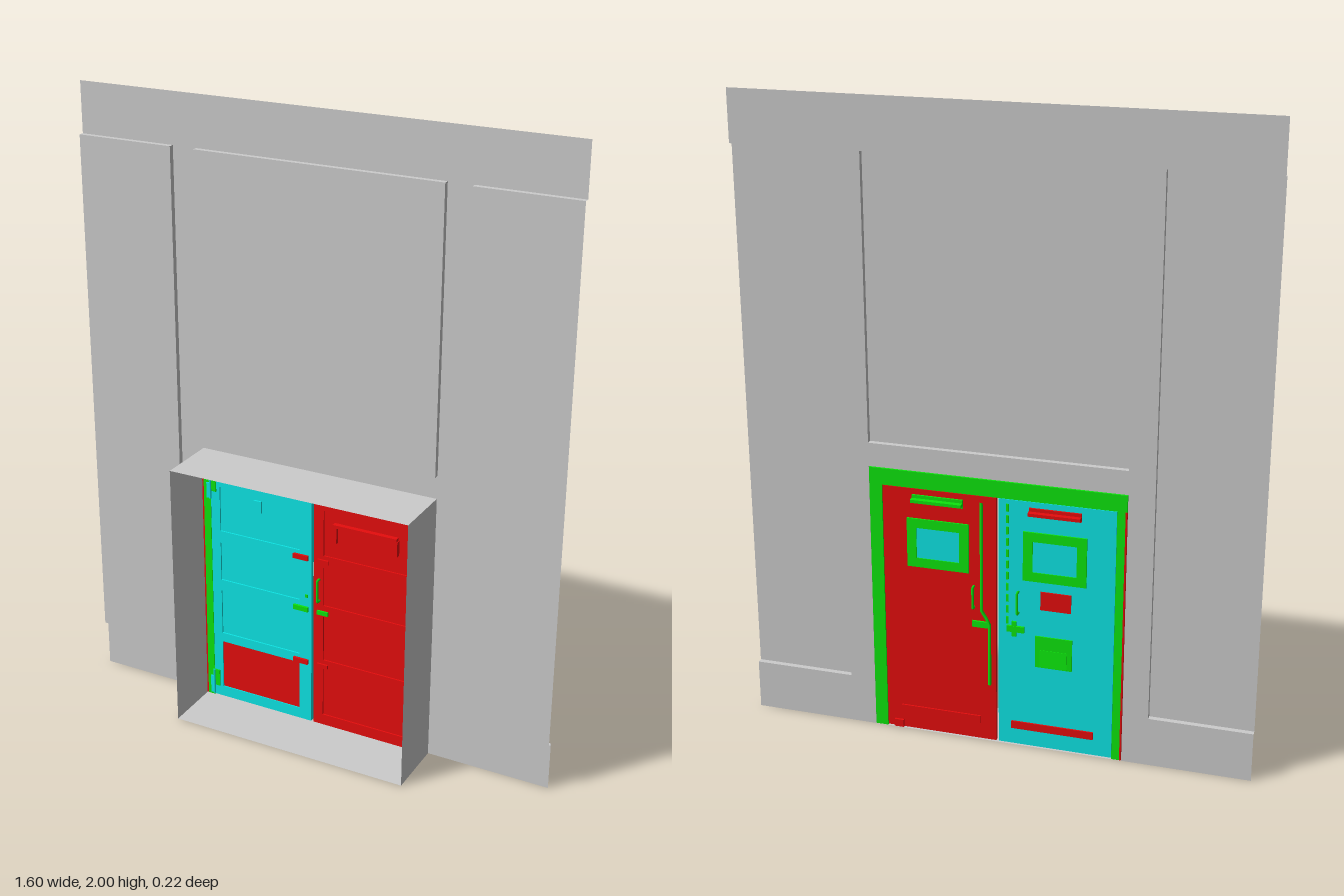
import * as THREE from 'three';

const mat = (name, color, side = THREE.FrontSide) => {
  const m = new THREE.MeshStandardMaterial({ color, side });
  m.name = name;
  return m;
};

export function createModel() {
  const root = new THREE.Group();
  const gray = mat('wall gray', 0xcccccc, THREE.DoubleSide);
  const red = mat('red', 0xe60d0d);
  const green = mat('green', 0x0de60d);
  const cyan = mat('cyan', 0x0de6e6);

  const WALL = -0.09, RAISED = -0.073, FRONT = 0.11;
  const BACK = -0.09, FACE = -0.075;

  const add = (name, geo, material, parent = root) => {
    const m = new THREE.Mesh(geo, material);
    m.name = name;
    parent.add(m);
    return m;
  };
  // box given by its limits on each axis
  const box = (name, x0, x1, y0, y1, z0, z1, material, parent) => {
    const m = add(name, new THREE.BoxGeometry(Math.abs(x1 - x0), y1 - y0, z1 - z0), material, parent);
    m.position.set((x0 + x1) / 2, (y0 + y1) / 2, (z0 + z1) / 2);
    return m;
  };
  const rectPath = (x0, x1, y0, y1) => [[x0, y0], [x1, y0], [x1, y1], [x0, y1]].map(p => new THREE.Vector2(...p));
  const poly = pts => new THREE.Shape(pts.map(p => new THREE.Vector2(...p)));
  const tube = (name, pts, r, material, parent) => {
    const path = new THREE.CurvePath();
    const v = pts.map(p => new THREE.Vector3(...p));
    for (let i = 1; i < v.length; i++) path.add(new THREE.LineCurve3(v[i - 1], v[i]));
    return add(name, new THREE.TubeGeometry(path, 24, r, 6), material, parent);
  };

  // Wall sheet with notches for the side panels and holes for doorway and upper panel
  const wall = new THREE.Group();
  wall.name = 'wall';
  root.add(wall);
  const outline = poly([
    [-0.8, 0], [-0.4, 0], [-0.4, 0.885], [0.4, 0.885], [0.4, 0], [0.8, 0],
    [0.8, 0.16], [0.48, 0.16], [0.48, 1.84], [0.8, 1.84], [0.8, 2],
    [-0.8, 2], [-0.8, 1.84], [-0.48, 1.84], [-0.48, 0.16], [-0.8, 0.16],
  ]);
  outline.holes.push(new THREE.Path(rectPath(-0.4, 0.4, 0.96, 1.84)));
  add('wallSheet', new THREE.ShapeGeometry(outline), gray, wall).position.z = WALL;

  // Sheet strip joining points in x,y and running from z0 to z1
  const strip = (name, pts, z0, z1, parent) => {
    for (let i = 1; i < pts.length; i++) {
      const [a, b] = [pts[i - 1], pts[i]];
      const g = new THREE.PlaneGeometry(Math.hypot(b[0] - a[0], b[1] - a[1]), z1 - z0).rotateX(Math.PI / 2);
      const m = add(name, g, gray, parent);
      m.position.set((a[0] + b[0]) / 2, (a[1] + b[1]) / 2, (z0 + z1) / 2);
      m.rotation.z = Math.atan2(b[1] - a[1], b[0] - a[0]);
    }
  };
  const sheet = (name, x0, x1, y0, y1, z) =>
    add(name, new THREE.ShapeGeometry(new THREE.Shape(rectPath(x0, x1, y0, y1))), gray, wall).position.z = z;

  // Raised wall panels
  sheet('upperPanel', -0.4, 0.4, 0.96, 1.84, RAISED);
  strip('upperPanelEdge', [[-0.4, 0.96], [0.4, 0.96], [0.4, 1.84], [-0.4, 1.84], [-0.4, 0.96]], WALL, RAISED, wall);
  for (const s of [-1, 1]) {
    sheet('sidePanel', Math.min(s * 0.48, s * 0.8), Math.max(s * 0.48, s * 0.8), 0.16, 1.84, RAISED);
    strip('sidePanelEdge', [[s * 0.8, 0.16], [s * 0.48, 0.16], [s * 0.48, 1.84], [s * 0.8, 1.84]], WALL, RAISED, wall);
  }

  // Open porch around the doorway
  strip('porch', [[-0.4, 0], [0.4, 0], [0.4, 0.885], [-0.4, 0.885], [-0.4, 0]], WALL, FRONT, root);

  // Door frame
  const frame = poly([
    [-0.394, 0.002], [-0.369, 0.002], [-0.369, 0.83], [0.359, 0.83], [0.359, 0.002],
    [0.399, 0.002], [0.399, 0.883], [-0.399, 0.883], [-0.399, 0.83], [-0.394, 0.83],
  ]);
  add('doorFrame', new THREE.ExtrudeGeometry(frame, { depth: 0.017, bevelEnabled: false }), green).position.z = -0.092;
  box('frameSeal', -0.399, -0.394, 0.002, 0.83, -0.093, -0.075, red);

  // Door leaves with four recessed front panels
  const rows = [[0.042, 0.212], [0.244, 0.4], [0.44, 0.573], [0.615, 0.77]];
  const door = (name, x0, x1, p0, p1, material) => {
    const g = new THREE.Group();
    g.name = name;
    root.add(g);
    box('doorSlab', x0, x1, 0.005, 0.828, BACK, FACE - 0.005, material, g);
    const s = new THREE.Shape(rectPath(x0, x1, 0.005, 0.828));
    for (const [a, b] of rows) s.holes.push(new THREE.Path(rectPath(p0, p1, a, b).reverse()));
    add('doorPanelling', new THREE.ExtrudeGeometry(s, { depth: 0.005, bevelEnabled: false }), material, g).position.z = FACE - 0.005;
    return g;
  };
  const rightDoor = door('rightDoor', -0.368, -0.008, -0.336, -0.05, cyan);
  const leftDoor = door('leftDoor', 0, 0.358, 0.034, 0.32, red);
  box('kickPanel', -0.335, -0.051, 0.043, 0.211, -0.08, -0.077, red, rightDoor);

  // Shared back fittings: window, closer, pull handle, bottom bar
  const fittings = (g, s, trim) => {
    const c = s * 0.183;
    const w = new THREE.Shape(rectPath(c - 0.098, c + 0.098, 0.572, 0.732));
    w.holes.push(new THREE.Path(rectPath(c - 0.068, c + 0.068, 0.602, 0.702).reverse()));
    add('windowFrame', new THREE.ExtrudeGeometry(w, { depth: 0.005, bevelEnabled: false }), green, g).position.z = BACK - 0.005;
    box('windowPane', c - 0.068, c + 0.068, 0.602, 0.702, BACK - 0.002, BACK, cyan, g);
    box('closerPlate', c - 0.08, c + 0.08, 0.783, 0.81, BACK - 0.006, BACK, trim, g);
    box('closerArm', c - 0.08, c + 0.08, 0.79, 0.8, BACK - 0.022, BACK - 0.006, trim, g);
    tube('pullHandle', [[s * 0.07, 0.46, BACK], [s * 0.07, 0.46, -0.105], [s * 0.07, 0.53, -0.105], [s * 0.07, 0.53, BACK]], 0.004, green, g);
    box('bottomBar', s * 0.05, s * 0.31, 0.06, 0.085, BACK - 0.005, BACK, red, g);
  };
  fittings(leftDoor, 1, green);
  fittings(rightDoor, -1, red);
  box('doorStop', 0.305, 0.335, 0.005, 0.03, -0.097, BACK, red, leftDoor);

  // Locking rods on the back
  tube('lockRod', [[0.045, 0.81, -0.093], [0.045, 0.45, -0.093], [0.02, 0.41, -0.093], [0.02, 0.2, -0.093]], 0.005, green, leftDoor);
  box('lockLever', 0.02, 0.075, 0.395, 0.415, -0.097, BACK, green, leftDoor);
  for (let i = 0; i < 11; i++) {
    const y = 0.42 + i * 0.037;
    box('rodLink', -0.04, -0.032, y, y + 0.024, -0.094, BACK, green, rightDoor);
  }
  box('lockLever', -0.09, -0.035, 0.395, 0.415, -0.097, BACK, green, rightDoor);
  box('lockPost', -0.065, -0.05, 0.38, 0.43, -0.096, BACK, green, rightDoor);

  // Notice plate and tilted letter box on the back
  box('noticePlate', -0.235, -0.14, 0.48, 0.54, BACK - 0.004, BACK, red, rightDoor);
  box('letterPlate', -0.24, -0.125, 0.285, 0.39, BACK - 0.004, BACK, green, rightDoor);
  box('letterFlap', -0.225, -0.14, 0.29, 0.345, -0.098, -0.094, green, rightDoor).rotation.x = 0.08;

  // Front latches across the meeting edge
  [[0.595, red], [0.414, green], [0.223, red]].forEach(([y, m], i) => {
    box('latchBolt', -0.07, -0.018, y - 0.008, y + 0.008, FACE, FACE + 0.008, m, rightDoor);
    box('latchKeep', 0.014, 0.052, y - 0.007, y + 0.007, FACE, FACE + 0.006, i === 1 ? green : red, leftDoor);
  });
  tube('frontHandle', [[0.02, 0.455, FACE], [0.02, 0.455, -0.06], [0.02, 0.53, -0.06], [0.02, 0.53, FACE]], 0.004, green, leftDoor);
  box('keyhole', -0.03, -0.02, 0.455, 0.465, FACE, FACE + 0.003, green, rightDoor);
  box('peepPlate', -0.214, -0.186, 0.71, 0.75, -0.08, -0.074, cyan, rightDoor);

  // Front closer bar on the left door
  box('closerBar', 0.07, 0.285, 0.725, 0.735, -0.08, -0.064, red, leftDoor);
  box('closerDrop', 0.073, 0.081, 0.67, 0.725, -0.08, -0.068, red, leftDoor);
  box('closerDrop', 0.272, 0.288, 0.675, 0.725, -0.08, -0.064, red, leftDoor);

  // Hinges
  const hinge = (x, s, y0, y1, leaf, plate) => {
    const g = new THREE.Group();
    g.name = 'hinge';
    root.add(g);
    const h = y1 - y0;
    box('hingePlate', x, x + s * 0.014, y0, y1 - h * 0.3, FACE, FACE + 0.004, leaf, g);
    box('hingeLeaf', x, x - s * 0.02, y0 + h * 0.35, y1, FACE, FACE + 0.004, plate, g);
    const pin = add('hingePin', new THREE.CylinderGeometry(0.004, 0.004, h, 8), leaf, g);
    pin.position.set(x, (y0 + y1) / 2, FACE + 0.004);
  };
  for (const [y0, y1] of [[0.01, 0.1], [0.725, 0.8]]) {
    hinge(0.362, 1, y0, y1, cyan, red);
    hinge(-0.368, -1, y0, y1, cyan, green);
  }
  return root;
}
